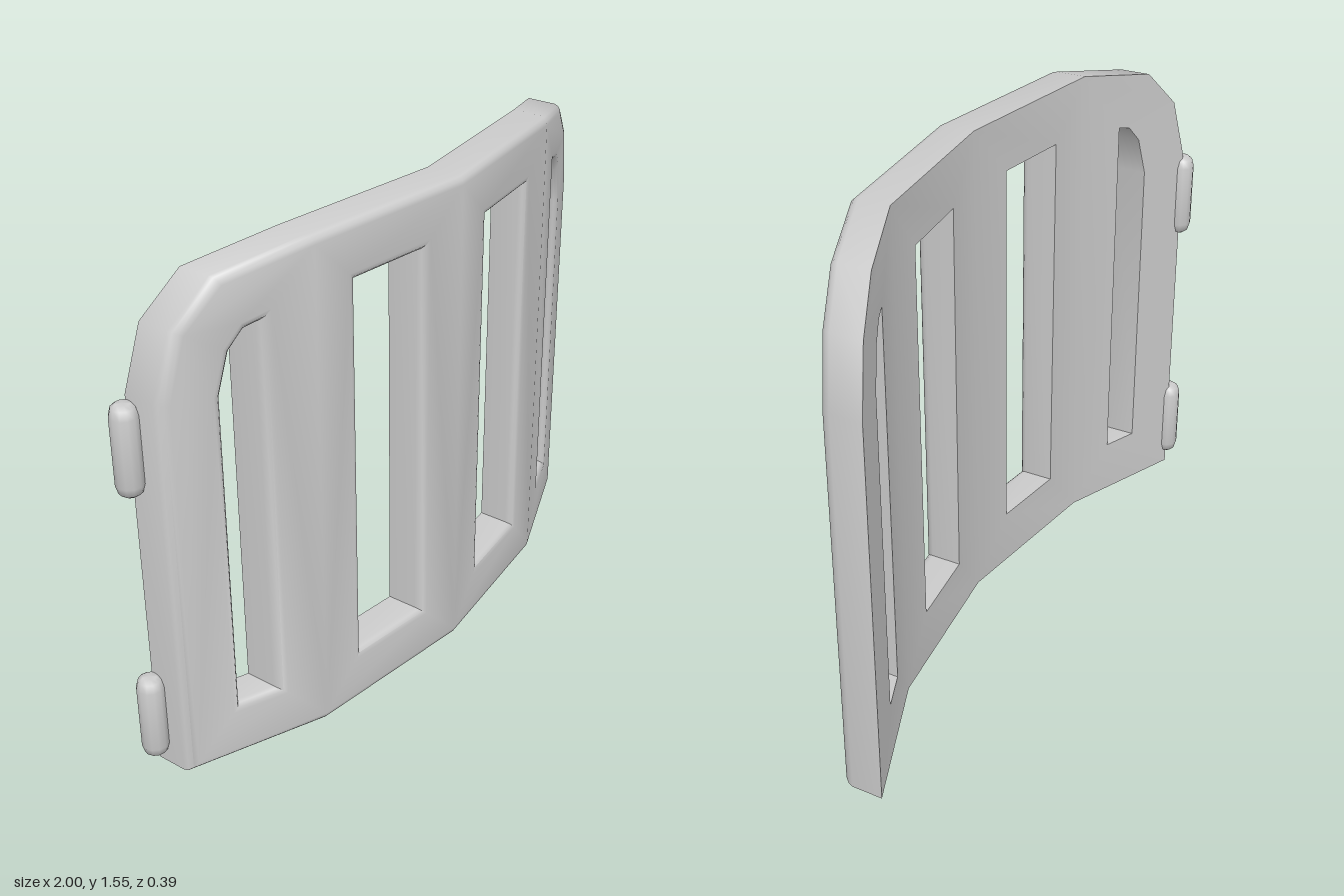
import * as THREE from 'three';
import { toCreasedNormals } from 'three/addons/utils/BufferGeometryUtils.js';

const THICK = 0.12, BEVEL = 0.025, MID = 0.03;

// fold lines of the panel: [x, z of the back face]
const FOLDS = [[-0.94, -0.17], [-0.53, 0], [MID, 0.07], [0.58, 0], [1, -0.17]];

function bend(x) {
  let i = 0;
  while (i < FOLDS.length - 2 && x > FOLDS[i + 1][0]) i++;
  const [x0, z0] = FOLDS[i], [x1, z1] = FOLDS[i + 1];
  return z0 + (z1 - z0) * (x - x0) / (x1 - x0);
}

const vec = (list) => list.map(([x, y]) => new THREE.Vector2(x, y));

// counter-clockwise outline, with a point wherever a fold meets the rim
const outline = vec([
  [-0.94, 0], [-0.53, 0], [MID, 0], [0.58, 0], [1, 0],
  [1, 1.19], [0.95, 1.38], [0.83, 1.5], [0.58, 1.55], [MID, 1.55], [-0.53, 1.55],
  [-0.78, 1.5], [-0.89, 1.38], [-0.94, 1.19],
]);
const sections = [[0, 1, 10, 11, 12, 13], [1, 2, 9, 10], [2, 3, 8, 9], [3, 4, 5, 6, 7, 8]];

// clockwise slots, one per section; the right half mirrors the left
const endSlot = vec([[-0.78, 0.18], [-0.78, 1.17], [-0.75, 1.29], [-0.71, 1.34], [-0.67, 1.35], [-0.67, 0.18]]);
const midSlot = vec([[-0.38, 0.18], [-0.38, 1.38], [-0.125, 1.38], [-0.125, 0.18]]);
const mirror = (pts) => pts.map((p) => new THREE.Vector2(2 * MID - p.x, p.y)).reverse();
const slots = [endSlot, midSlot, mirror(midSlot), mirror(endSlot)];

// moves a closed contour into the material (left of its direction) by d
function inset(pts, d) {
  const n = pts.length;
  return pts.map((p, i) => {
    const a = p.clone().sub(pts[(i + n - 1) % n]).normalize();
    const b = pts[(i + 1) % n].clone().sub(p).normalize();
    const k = d / (1 + a.dot(b));
    return new THREE.Vector2(p.x - (a.y + b.y) * k, p.y + (a.x + b.x) * k);
  });
}

function panelGeometry() {
  const pos = [];
  const put = (p, z) => pos.push(p.x, p.y, z + bend(p.x));

  // wall of each contour: straight at the back, rounded over at the front
  const rings = [[0, 0]];
  for (let i = 0; i <= 3; i++) {
    const a = i * Math.PI / 6;
    rings.push([BEVEL * (1 - Math.cos(a)), THICK - BEVEL * (1 - Math.sin(a))]);
  }
  for (const contour of [outline, ...slots]) {
    for (let r = 0; r < rings.length - 1; r++) {
      const [d0, z0] = rings[r], [d1, z1] = rings[r + 1];
      const lo = inset(contour, d0), hi = inset(contour, d1);
      for (let i = 0; i < contour.length; i++) {
        const j = (i + 1) % contour.length;
        put(lo[i], z0); put(lo[j], z0); put(hi[j], z1);
        put(lo[i], z0); put(hi[j], z1); put(hi[i], z1);
      }
    }
  }

  // back and front faces, one folded section at a time
  for (const [d, z, front] of [[0, 0, false], [BEVEL, THICK, true]]) {
    const rim = inset(outline, d);
    sections.forEach((ids, s) => {
      const edge = ids.map((i) => rim[i]);
      const hole = inset(slots[s], d);
      const all = [...edge, ...hole];
      for (const [a, b, c] of THREE.ShapeUtils.triangulateShape(edge, [hole])) {
        for (const i of front ? [a, b, c] : [a, c, b]) put(all[i], z);
      }
    });
  }

  const geo = new THREE.BufferGeometry();
  geo.setAttribute('position', new THREE.Float32BufferAttribute(pos, 3));
  return toCreasedNormals(geo, 0.8);
}

export function createModel() {
  const group = new THREE.Group();
  group.name = 'slottedGate';
  const material = new THREE.MeshStandardMaterial({ color: 0xcccccc });

  const panel = new THREE.Mesh(panelGeometry(), material);
  panel.name = 'bentPanel';
  group.add(panel);

  // hinge barrels along one upright edge
  const profile = vec([[0, 0], [0.02, 0], [0.033, 0.01], [0.04, 0.035],
    [0.04, 0.235], [0.033, 0.26], [0.02, 0.27], [0, 0.27]]);
  const barrel = toCreasedNormals(new THREE.LatheGeometry(profile, 12), 0.9);
  [['lowerHinge', 0.04], ['upperHinge', 0.907]].forEach(([name, y]) => {
    const hinge = new THREE.Mesh(barrel, material);
    hinge.name = name;
    hinge.position.set(-0.96, y, -0.16);
    group.add(hinge);
  });
  return group;
}
